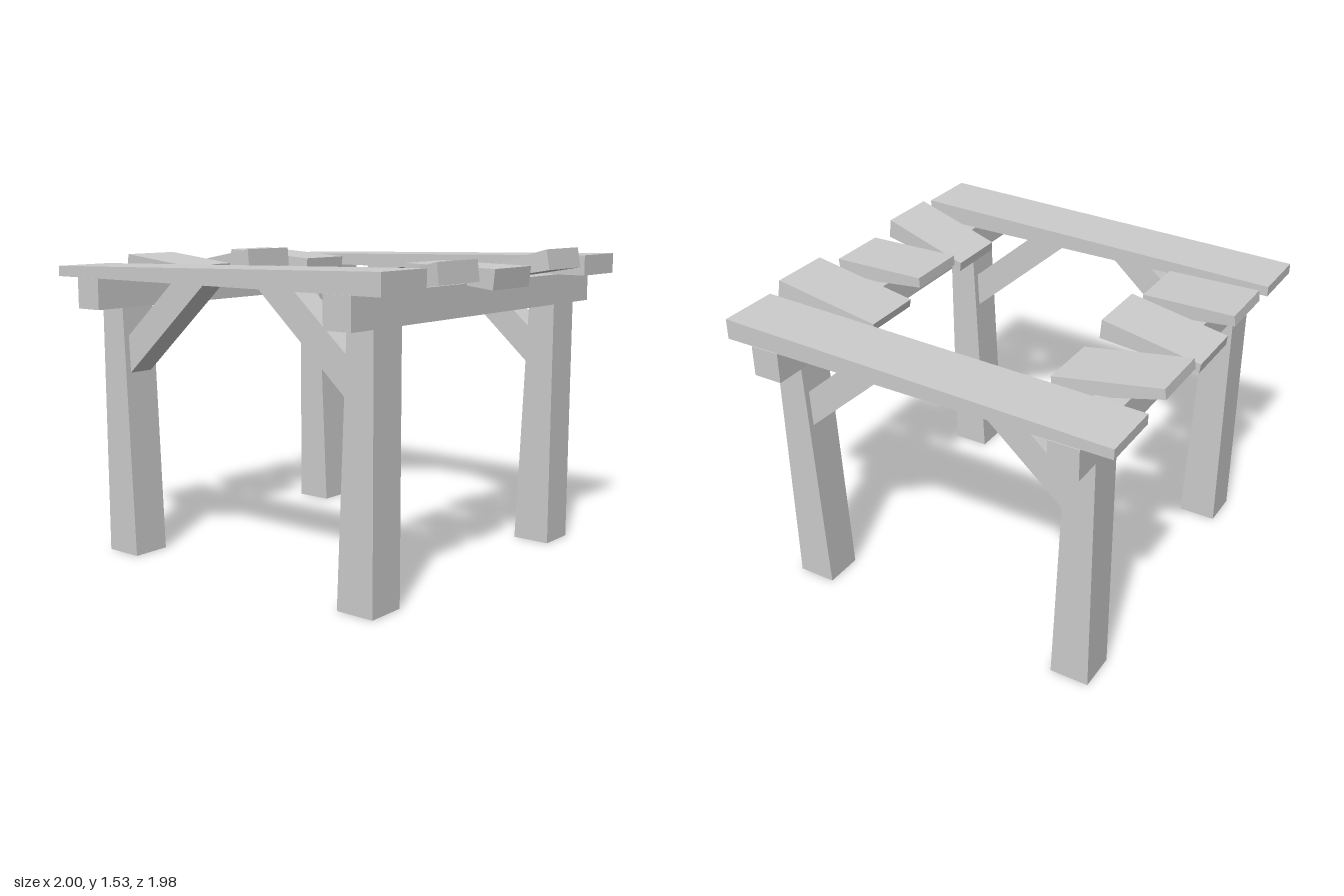
import * as THREE from 'three';

const material = new THREE.MeshStandardMaterial({ color: 0xcccccc });

// Timber with an outline in x/y, running from z0 to z1; skew slides z along x.
function timber(name, outline, z0, z1, skew = 0) {
  const shape = new THREE.Shape(outline.map(([x, y]) => new THREE.Vector2(x, y)));
  const geometry = new THREE.ExtrudeGeometry(shape, { depth: z1 - z0, bevelEnabled: false });
  geometry.translate(0, 0, z0);
  if (skew) {
    const p = geometry.attributes.position;
    const left = Math.min(...outline.map(([x]) => x));
    for (let i = 0; i < p.count; i++) p.setZ(i, p.getZ(i) + skew * (p.getX(i) - left));
    geometry.computeVertexNormals();
  }
  const mesh = new THREE.Mesh(geometry, material);
  mesh.name = name;
  return mesh;
}

export function createModel() {
  const group = new THREE.Group();
  group.name = 'tableFrame';

  for (const s of [-1, 1]) {
    // Beam running front to back across the legs
    group.add(timber('beam',
      [[s * 0.842, 1.24], [s * 0.695, 1.24], [s * 0.695, 1.39], [s * 0.842, 1.39]], -0.99, 0.99));

    for (const f of [-1, 1]) {
      const span = (a, b) => (f > 0 ? [a, b] : [-b, -a]);
      // Leg, widening inwards towards the foot
      group.add(timber('leg',
        [[s * 0.84, 0], [s * 0.645, 0], [s * 0.698, 1.24], [s * 0.84, 1.24]], ...span(0.645, 0.84)));
      // Diagonal brace from leg to plank
      group.add(timber('brace',
        [[s * 0.69, 0.915], [s * 0.15, 1.392], [s * 0.36, 1.392], [s * 0.695, 1.1]], ...span(0.68, 0.81)));
    }
  }

  // Long planks, thinner at the -x end
  const longOutline = [[-0.99, 1.39], [0.985, 1.388], [0.985, 1.488], [-0.99, 1.44]];
  group.add(timber('frontPlank', longOutline, 0.675, 0.985));
  group.add(timber('backPlank', longOutline, -0.985, -0.68));

  // Short loose planks: corners from low -x round to high -x, z range, skew
  const leftTipped = [[-1, 1.43], [-0.507, 1.345], [-0.5, 1.44], [-0.992, 1.48]];
  const leftMiddle = [[-0.99, 1.367], [-0.497, 1.41], [-0.505, 1.505], [-0.995, 1.413]];
  const rightBack = [[0.507, 1.345], [0.997, 1.433], [0.98, 1.53], [0.5, 1.385]];
  const rightFront = [[0.507, 1.352], [0.995, 1.412], [0.982, 1.51], [0.502, 1.398]];
  const rightMiddle = [[0.492, 1.42], [0.978, 1.365], [0.988, 1.46], [0.495, 1.47]];
  const shortPlanks = [
    [leftTipped, -0.53, -0.225, -0.172],
    [leftMiddle, -0.155, 0.155, 0],
    [leftTipped, 0.225, 0.535, 0.135],
    [rightBack, -0.53, -0.225, -0.172],
    [rightMiddle, -0.155, 0.155, 0],
    [rightFront, 0.225, 0.535, 0.135],
  ];
  for (const plank of shortPlanks) group.add(timber('shortPlank', ...plank));

  return group;
}
